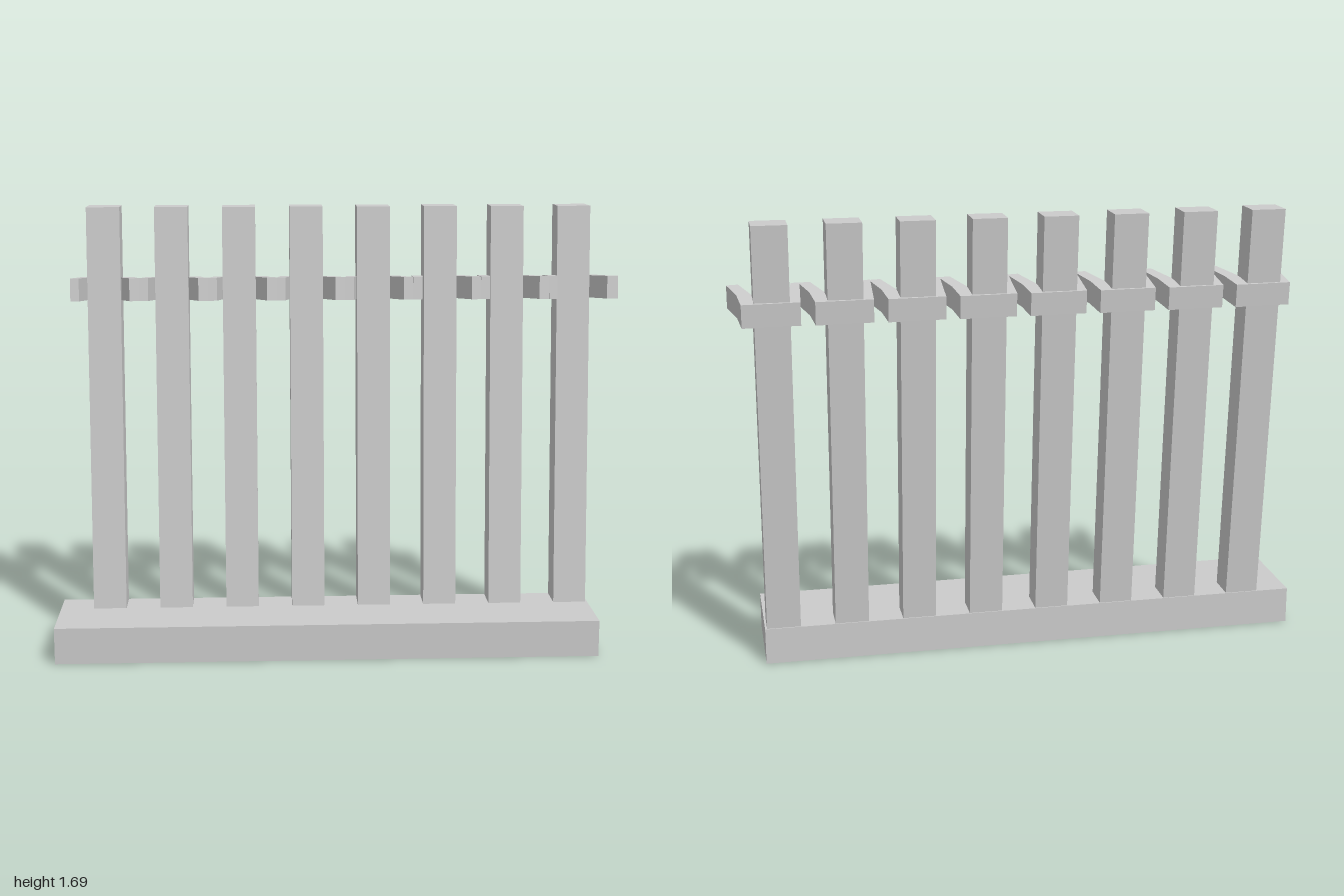
import * as THREE from 'three';

const POSTS = 8, SPACING = 0.2585;
const BASE_H = 0.14, TOP = 1.69, LEAN = -0.138;

export function createModel() {
  const model = new THREE.Group();
  model.name = 'fence';
  const mat = new THREE.MeshStandardMaterial({ color: 0xcccccc, flatShading: true });
  const add = (geo, name, parent) => {
    const mesh = new THREE.Mesh(geo, mat);
    mesh.name = name;
    parent.add(mesh);
    return mesh;
  };

  // the row runs along local x, turned diagonally
  const row = new THREE.Group();
  row.name = 'fenceRow';
  row.rotation.y = 0.941;
  row.position.set(0.0175, 0, 0.0525);
  model.add(row);

  // plinth
  add(new THREE.BoxGeometry(2.072, BASE_H, 0.365), 'base', row).position.y = BASE_H / 2;

  // post: a box sheared backwards, with a level top
  const h = TOP - BASE_H;
  const postGeo = new THREE.BoxGeometry(0.127, h, 0.116).translate(0, h / 2, 0);
  const p = postGeo.attributes.position;
  for (let i = 0; i < p.count; i++) p.setZ(i, p.getZ(i) + LEAN * p.getY(i) / h);
  postGeo.computeVertexNormals();

  // bracket: a clip around the back of a post with two forward arms
  const outline = [
    [-0.1, -0.064], [0.108, -0.07], [0.118, 0.052], [0.149, 0.182], [0.106, 0.188],
    [0.066, 0.055], [0.06, -0.02], [-0.06, -0.02], [-0.066, 0.05], [-0.083, 0.182], [-0.115, 0.186],
  ].map(([x, y]) => new THREE.Vector2(x, y));
  const bracketGeo = new THREE.ExtrudeGeometry(new THREE.Shape(outline), { depth: 0.086, bevelEnabled: false })
    .rotateX(Math.PI / 2).translate(0, 0.043, 0);

  const bracketY = 1.376;
  for (let i = 0; i < POSTS; i++) {
    const unit = new THREE.Group();
    unit.name = 'postUnit' + (i + 1);
    unit.position.set(0.06 + (i - (POSTS - 1) / 2) * SPACING, BASE_H, -0.12);
    row.add(unit);
    add(postGeo, 'post', unit);
    const bracket = add(bracketGeo, 'bracket', unit);
    bracket.position.set(0, bracketY - BASE_H, LEAN * (bracketY - BASE_H) / h);
    bracket.rotation.x = Math.atan(LEAN / h);
  }
  return model;
}
